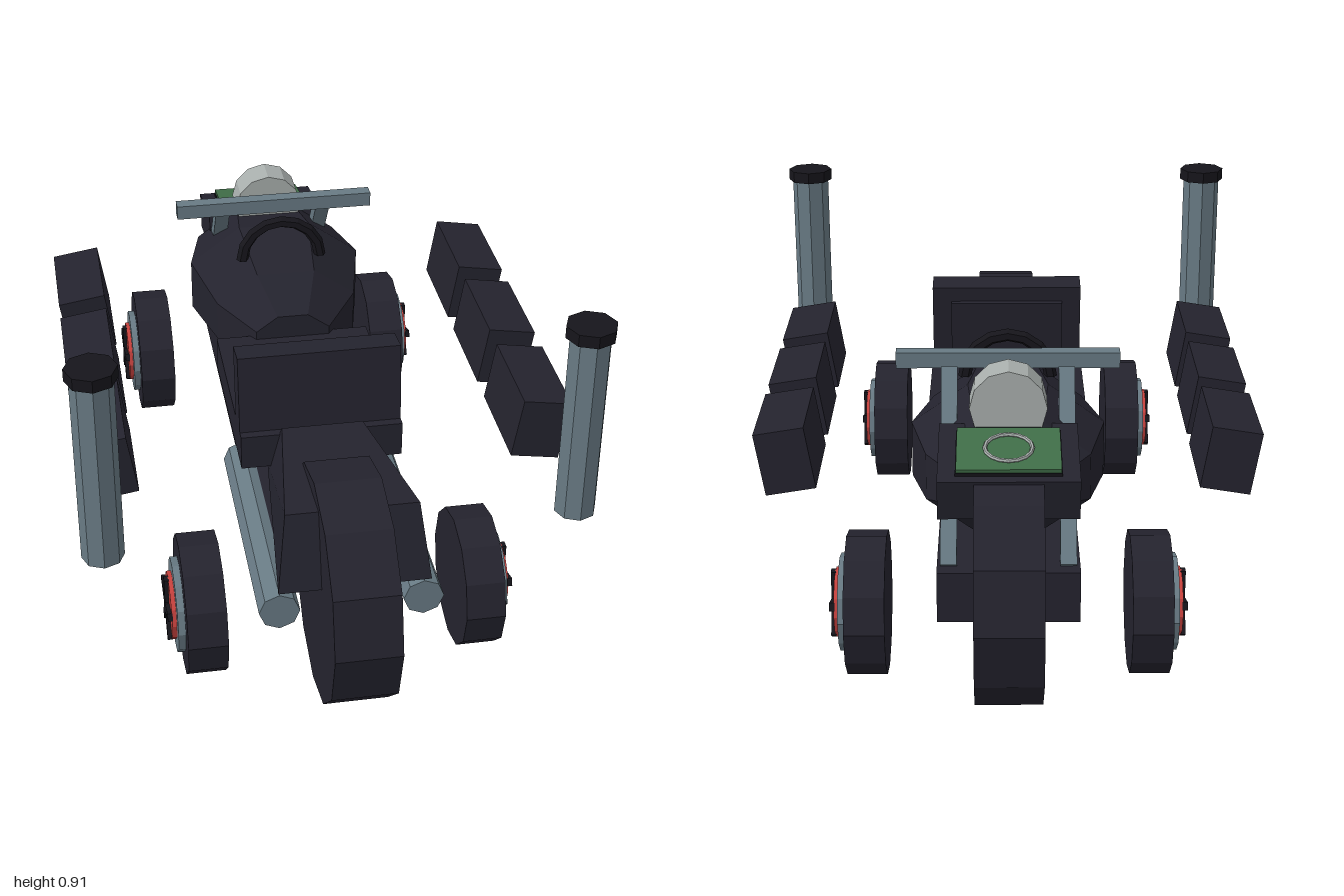
import * as THREE from 'three';

const mat = (name, color) => {
  const m = new THREE.MeshStandardMaterial({ color, flatShading: true });
  m.name = name;
  return m;
};

export function createModel() {
  const dark = mat('dark body', 0x24232e);
  const black = mat('black trim', 0x16151b);
  const steel = mat('steel', 0x687a84);
  const silver = mat('light silver', 0xa9afad);
  const red = mat('red hub', 0xc8423e);
  const green = mat('green screen', 0x406e48);

  const root = new THREE.Group();
  const add = (name, geo, material, x = 0, y = 0, z = 0, parent = root) => {
    const mesh = new THREE.Mesh(geo, material);
    mesh.name = name;
    mesh.position.set(x, y, z);
    parent.add(mesh);
    return mesh;
  };
  const box = (w, h, d) => new THREE.BoxGeometry(w, h, d);
  const cyl = (r, h, n) => new THREE.CylinderGeometry(r, r, h, n);
  const axleCyl = (r, w, n = 12) => cyl(r, w, n).rotateZ(Math.PI / 2);

  // Chassis beam and the two big centre wheels
  add('chassis', box(0.33, 0.125, 1.36), dark, 0, 0.257, -0.06);
  for (const s of [1, -1]) {
    add(s > 0 ? 'bigWheelFront' : 'bigWheelBack', axleCyl(0.286, 0.156), dark, 0, 0.293, s * 0.714);
  }

  // Seat, leaning backrest and its pad
  add('seat', box(0.4, 0.09, 0.47), dark, 0, 0.447, 0.145);
  const backrest = new THREE.Group();
  backrest.name = 'backrest';
  backrest.position.set(0, 0.57, 0.31);
  backrest.rotation.x = -0.12;
  root.add(backrest);
  add('backrestShell', box(0.4, 0.23, 0.075), dark, 0, 0, 0, backrest);
  add('backrestPad', box(0.3, 0.17, 0.02), dark, 0, -0.01, -0.042, backrest);

  // Tapered tail fairing: a box with its corners moved
  const tail = box(1, 1, 1);
  const p = tail.attributes.position;
  for (let i = 0; i < p.count; i++) {
    const top = p.getY(i) > 0, rear = p.getZ(i) > 0, side = Math.sign(p.getX(i));
    const half = rear ? (top ? 0.155 : 0.178) : (top ? 0.1 : 0.125);
    p.setXYZ(i, side * half, top ? (rear ? 0.545 : 0.51) : 0.362,
      rear ? (top ? 0.775 : 0.825) : (top ? 0.38 : 0.3));
  }
  add('tail', tail, dark);

  // Faceted tank with carrying arch
  const profile = [[0, -0.64], [0.55, -0.64], [0.83, -0.57], [1, -0.4], [0.8, -0.19], [0.42, -0.07], [0, -0.07]]
    .map(([r, z]) => new THREE.Vector2(r, z));
  const tank = new THREE.LatheGeometry(profile, 8, Math.PI / 8);
  tank.rotateX(Math.PI / 2).scale(0.25, 0.18, 1);
  add('tank', tank, dark, 0, 0.485, 0);
  add('tankArch', new THREE.TorusGeometry(0.105, 0.016, 6, 8, Math.PI), black, 0, 0.625, -0.27);

  // Sloping console with screen and ring
  const consoleGroup = new THREE.Group();
  consoleGroup.name = 'console';
  consoleGroup.position.set(0, 0.54, -0.66);
  consoleGroup.rotation.x = -0.19;
  root.add(consoleGroup);
  add('consoleBox', box(0.32, 0.1, 0.24), dark, 0, 0, 0, consoleGroup);
  add('screenBase', box(0.24, 0.008, 0.175), black, 0, 0.054, -0.01, consoleGroup);
  add('screen', box(0.236, 0.009, 0.172), green, 0, 0.0625, -0.01, consoleGroup);
  const ring = new THREE.TorusGeometry(0.054, 0.005, 6, 16).rotateX(Math.PI / 2);
  add('screenRing', ring, silver, 0, 0.07, -0.012, consoleGroup);
  add('gauge', cyl(0.09, 0.085, 12).rotateX(Math.PI / 2), silver, 0, 0.66, -0.54);

  // Handlebar
  add('handlebar', box(0.53, 0.038, 0.036), steel, 0, 0.718, -0.402);

  // Small side wheel, hub facing +x
  const sideWheel = (s, z) => {
    const wheel = new THREE.Group();
    wheel.name = 'sideWheel';
    wheel.position.set(s * 0.333, 0.171, z);
    if (s < 0) wheel.rotation.y = Math.PI;
    root.add(wheel);
    add('tyre', axleCyl(0.171, 0.095), dark, 0, 0, 0, wheel);
    add('rim', axleCyl(0.116, 0.02), steel, 0.055, 0, 0, wheel);
    add('hub', axleCyl(0.083, 0.012), red, 0.07, 0, 0, wheel);
    add('hubCap', axleCyl(0.02, 0.012, 10), black, 0.08, 0, 0, wheel);
    for (let i = 0; i < 5; i++) {
      const spoke = box(0.012, 0.08, 0.02).translate(0, 0.042, 0);
      spoke.rotateX((i * 2 * Math.PI) / 5);
      add('spoke', spoke, black, 0.08, 0, 0, wheel);
    }
  };

  // Mirrored side parts
  for (const s of [1, -1]) {
    for (const z of [0.59, -0.59]) sideWheel(s, z);

    const strut = add('forkStrut', box(0.038, 0.47, 0.036), steel, s * 0.138, 0.51, -0.565);
    strut.rotation.x = 0.62;

    add('exhaustPipe', cyl(0.048, 0.63, 8).rotateX(Math.PI / 2), steel, s * 0.17, 0.281, 0.475);

    add('stack', cyl(0.05, 0.485, 8), steel, s * 0.56, 0.64, 0.663);
    add('stackCap', cyl(0.06, 0.03, 8), black, s * 0.56, 0.893, 0.663);

    for (const z of [-0.355, -0.018, 0.323]) {
      const pod = add('sidePod', box(0.122, 0.157, 0.27), dark, s * 0.53, 0.489, z);
      pod.rotation.z = -s * 0.16;
    }
  }

  return root;
}
